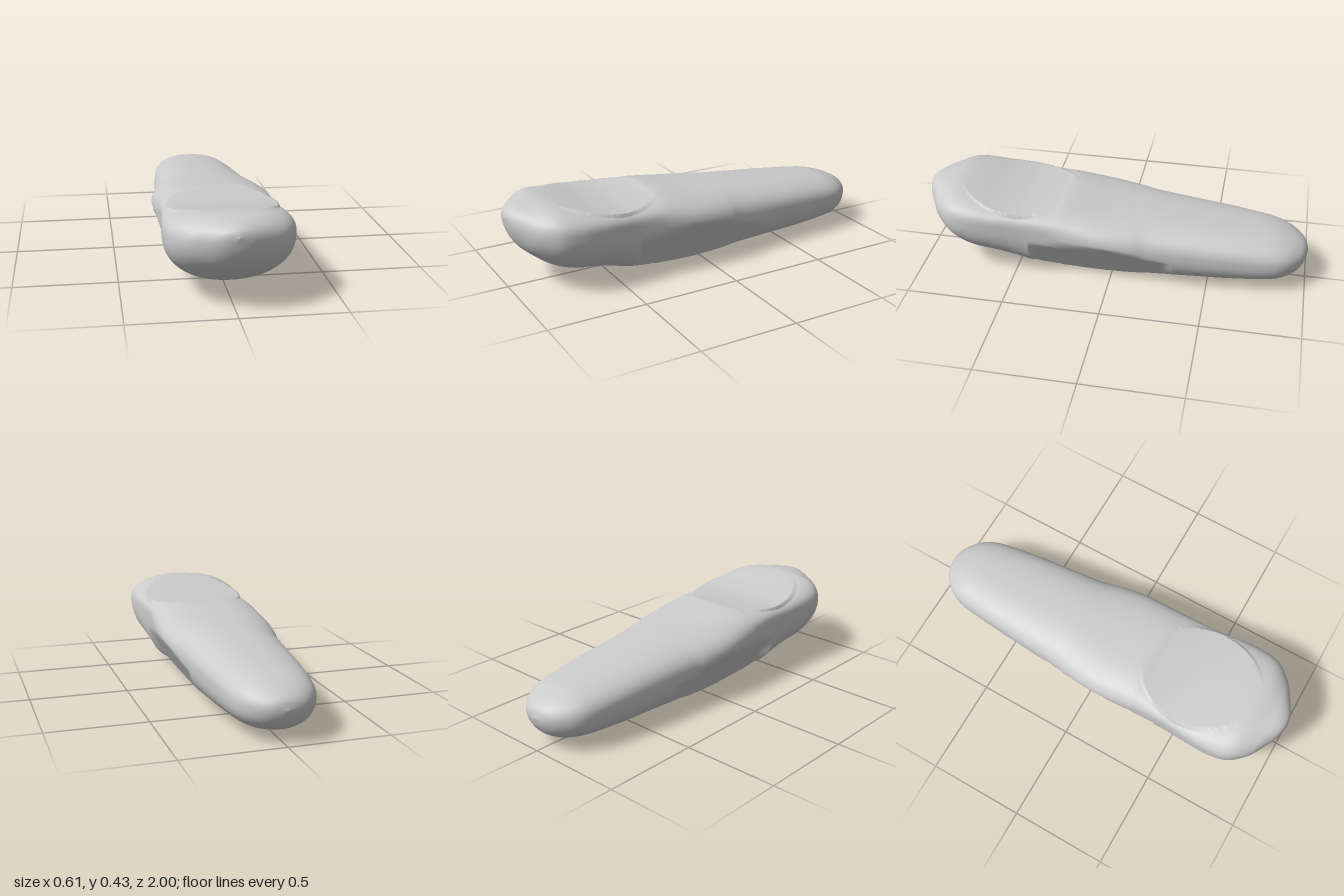
import * as THREE from 'three';

// Cross-sections from front to back: [z, half width, top y, bottom y, widest y, top squareness, bottom squareness]
const SECTIONS = [
  [1.0, 0.0, 0.37, 0.37, 0.37, 2, 2],
  [0.985, 0.07, 0.4, 0.295, 0.35, 2, 2],
  [0.95, 0.14, 0.419, 0.225, 0.335, 2, 2],
  [0.9, 0.22, 0.427, 0.175, 0.32, 2.2, 2],
  [0.82, 0.285, 0.435, 0.117, 0.31, 2.7, 2.1],
  [0.72, 0.304, 0.42, 0.077, 0.3, 3.2, 2.2],
  [0.6, 0.3, 0.396, 0.06, 0.29, 4, 2.3],
  [0.5, 0.29, 0.383, 0.037, 0.28, 4.5, 2.4],
  [0.42, 0.285, 0.38, 0.015, 0.275, 4.5, 2.5],
  [0.3, 0.288, 0.386, 0.01, 0.26, 3.8, 2.8],
  [0.22, 0.295, 0.392, 0.007, 0.25, 3, 3],
  [0.05, 0.3, 0.371, 0.002, 0.24, 2.7, 3],
  [-0.1, 0.285, 0.357, 0.003, 0.22, 2.6, 2.7],
  [-0.2, 0.265, 0.349, 0.006, 0.21, 2.5, 2.4],
  [-0.4, 0.247, 0.33, 0.011, 0.2, 2.5, 2.3],
  [-0.6, 0.23, 0.31, 0.017, 0.19, 2.5, 2.3],
  [-0.8, 0.205, 0.288, 0.033, 0.175, 2.4, 2.3],
  [-0.89, 0.175, 0.266, 0.048, 0.17, 2.3, 2.2],
  [-0.95, 0.125, 0.24, 0.075, 0.17, 2.1, 2.1],
  [-0.985, 0.07, 0.212, 0.122, 0.17, 2, 2],
  [-1.0, 0.0, 0.17, 0.17, 0.17, 2, 2],
];

const track = (a, b, c) => new THREE.CatmullRomCurve3(
  SECTIONS.map((s) => new THREE.Vector3(s[a], s[b], s[c])), false, 'catmullrom', 0.5);

function torsoGeometry(rings = 200, sides = 128) {
  const outline = track(0, 1, 2), lower = track(3, 4, 3), shape = track(5, 6, 5);
  const positions = [], index = [];
  for (let i = 0; i <= rings; i++) {
    const t = i / rings;
    const { x: z, y: w, z: top } = outline.getPoint(t);
    const { x: bottom, y: mid } = lower.getPoint(t);
    const { x: nTop, y: nBottom } = shape.getPoint(t);
    for (let j = 0; j < sides; j++) {
      const angle = (j / sides) * Math.PI * 2;
      const c = Math.cos(angle), s = Math.sin(angle);
      const power = 2 / (s >= 0 ? nTop : nBottom);
      let x = Math.sign(c) * Math.max(w, 0) * Math.abs(c) ** power;
      let y = mid + (s >= 0 ? top - mid : bottom - mid) * Math.abs(s) ** power;
      // Flat sloping cuts where the limbs would join the belly
      const limit = 0.155 + (y - 0.012) * 0.61;
      if (z < 0.4 && z > -0.3 && y < 0.27 && Math.abs(x) > limit) x = Math.sign(x) * limit;
      // Flat oval cut on the back
      if (s > 0 && (x / 0.265) ** 2 + ((z - 0.51) / 0.31) ** 2 < 1) y = top - 0.1 * x * x;
      positions.push(x, y, z);
    }
  }
  for (let i = 0; i < rings; i++) {
    for (let j = 0; j < sides; j++) {
      const k = (j + 1) % sides;
      const a = i * sides + j, b = i * sides + k, c = a + sides, d = b + sides;
      index.push(a, c, b, b, c, d);
    }
  }
  const geometry = new THREE.BufferGeometry();
  geometry.setAttribute('position', new THREE.Float32BufferAttribute(positions, 3));
  geometry.setIndex(index);
  geometry.computeVertexNormals();
  return geometry;
}

export function createModel() {
  const group = new THREE.Group();
  group.name = 'body';
  const torso = new THREE.Mesh(torsoGeometry(), new THREE.MeshStandardMaterial({ color: 0xcccccc }));
  torso.name = 'torso';
  group.add(torso);
  return group;
}
